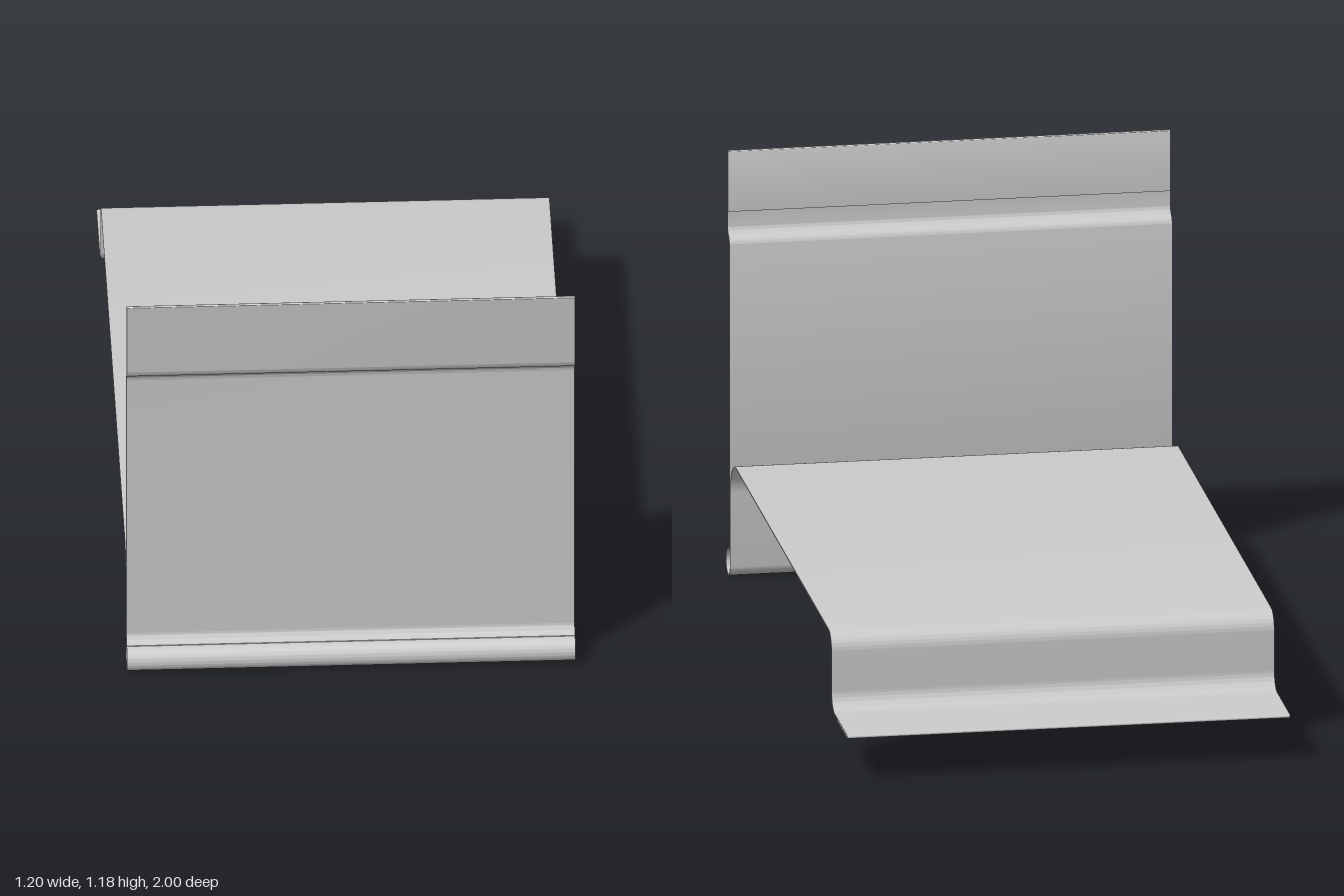
import * as THREE from 'three';
import { toCreasedNormals } from 'three/addons/utils/BufferGeometryUtils.js';

const WIDTH = 1.2;
const THICKNESS = 0.004;

// Centreline of the folded sheet in (z, y), from the upright's hem to the rear hem
function sheetCentreline() {
  const PI = Math.PI;
  const p = new THREE.Path();
  // hem folded behind the top of the upright
  p.moveTo(0.968, 1.012);
  p.lineTo(0.968, 1.178);
  p.absarc(0.9705, 1.178, 0.0025, PI, 0, true);
  // small S-shaped step back to the main upright
  const a = THREE.MathUtils.degToRad(65);
  const r = 0.035 / (2 * (1 - Math.cos(a)));
  p.absarc(0.973 - r, 0.975, r, 0, -a, true);
  p.absarc(0.938 + r, 0.975 - 2 * r * Math.sin(a), r, PI - a, PI, false);
  // flare and rolled bead at the foot
  p.absarc(0.964, 0.098, 0.026, PI, 1.5 * PI, false);
  p.absarc(0.964, 0.036, 0.034, PI / 2, -PI, true);
  // inner leg, large bend, deck
  p.absarc(0.83, 0.235, 0.1, 0, PI / 2, false);
  // step down to the rear flange
  p.absarc(-0.69, 0.287, 0.048, PI / 2, PI, false);
  p.absarc(-0.788, 0.178, 0.05, 0, -PI / 2, true);
  // hem folded under the rear flange
  p.absarc(-0.9955, 0.1255, 0.0025, PI / 2, 1.5 * PI, false);
  p.lineTo(-0.83, 0.123);
  const points = p.getPoints(16);
  return points.filter((q, i) => i === 0 || q.distanceTo(points[i - 1]) > 1e-5);
}

// Closed outline of constant thickness around an open line
function thicken(line, thickness) {
  const left = [], right = [];
  line.forEach((q, i) => {
    const before = line[Math.max(i - 1, 0)];
    const after = line[Math.min(i + 1, line.length - 1)];
    const dir = q.clone().sub(before).normalize().add(after.clone().sub(q).normalize()).normalize();
    const side = new THREE.Vector2(-dir.y, dir.x).multiplyScalar(thickness / 2);
    left.push(q.clone().add(side));
    right.unshift(q.clone().sub(side));
  });
  return new THREE.Shape([...left, ...right]);
}

export function createModel() {
  const metal = new THREE.MeshStandardMaterial({ color: 0xcccccc });
  metal.name = 'light grey metal';

  // Extrude across the width, turning the profile into the z-y plane
  const extrusion = new THREE.ExtrudeGeometry(thicken(sheetCentreline(), THICKNESS), {
    depth: WIDTH, bevelEnabled: false, steps: 1,
  });
  extrusion.translate(0, 0, -WIDTH / 2);
  extrusion.rotateY(-Math.PI / 2);

  const sheet = new THREE.Mesh(toCreasedNormals(extrusion, Math.PI / 5), metal);
  sheet.name = 'foldedSheet';

  const model = new THREE.Group();
  model.name = 'foldedMetalFlashing';
  model.add(sheet);
  return model;
}
